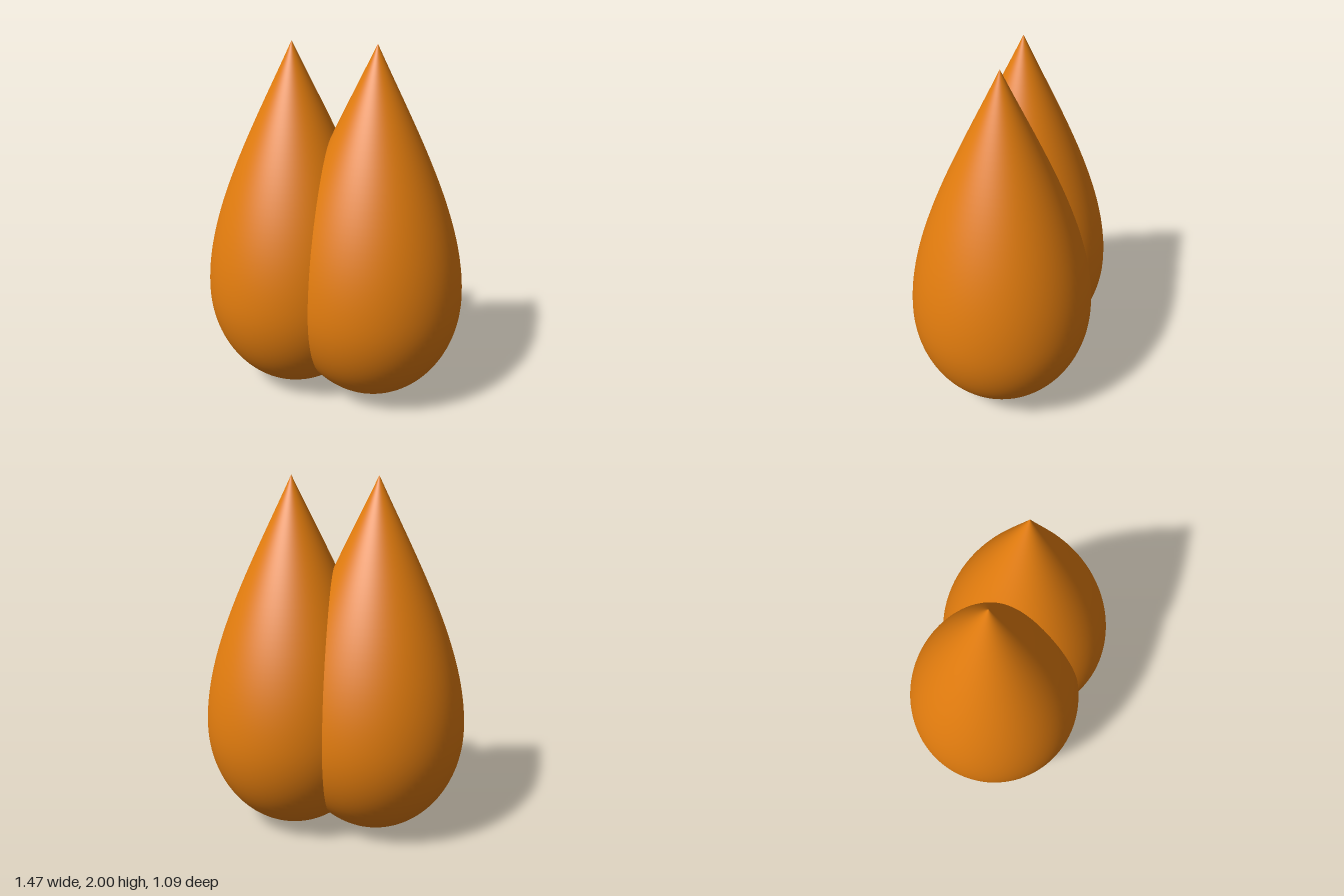
import * as THREE from 'three';

export function createModel() {
  const group = new THREE.Group();
  group.name = 'twinTeardrops';
  const orange = new THREE.MeshStandardMaterial({ color: 0xe27c0e });
  orange.name = 'orange';

  // Half profile: elliptical base sweeping up into a pointed tip
  const R = 0.505, H = 0.6, k = 0.5523;
  const v = (x, y) => new THREE.Vector2(x, y);
  const base = new THREE.CubicBezierCurve(v(0, 0), v(R * k, 0), v(R, H * (1 - k)), v(R, H));
  const upper = new THREE.CubicBezierCurve(v(R, H), v(R, 1.05), v(0.216, 1.55), v(0, 2));
  const profile = [...base.getPoints(24), ...upper.getPoints(36).slice(1)];
  const geometry = new THREE.LatheGeometry(profile, 96);

  // Two overlapping drops, slightly staggered in depth
  for (const [name, s] of [['leftDrop', 1], ['rightDrop', -1]]) {
    const drop = new THREE.Mesh(geometry, orange);
    drop.name = name;
    drop.position.set(0.232 * s, 0, 0.04 * s);
    group.add(drop);
  }
  return group;
}
